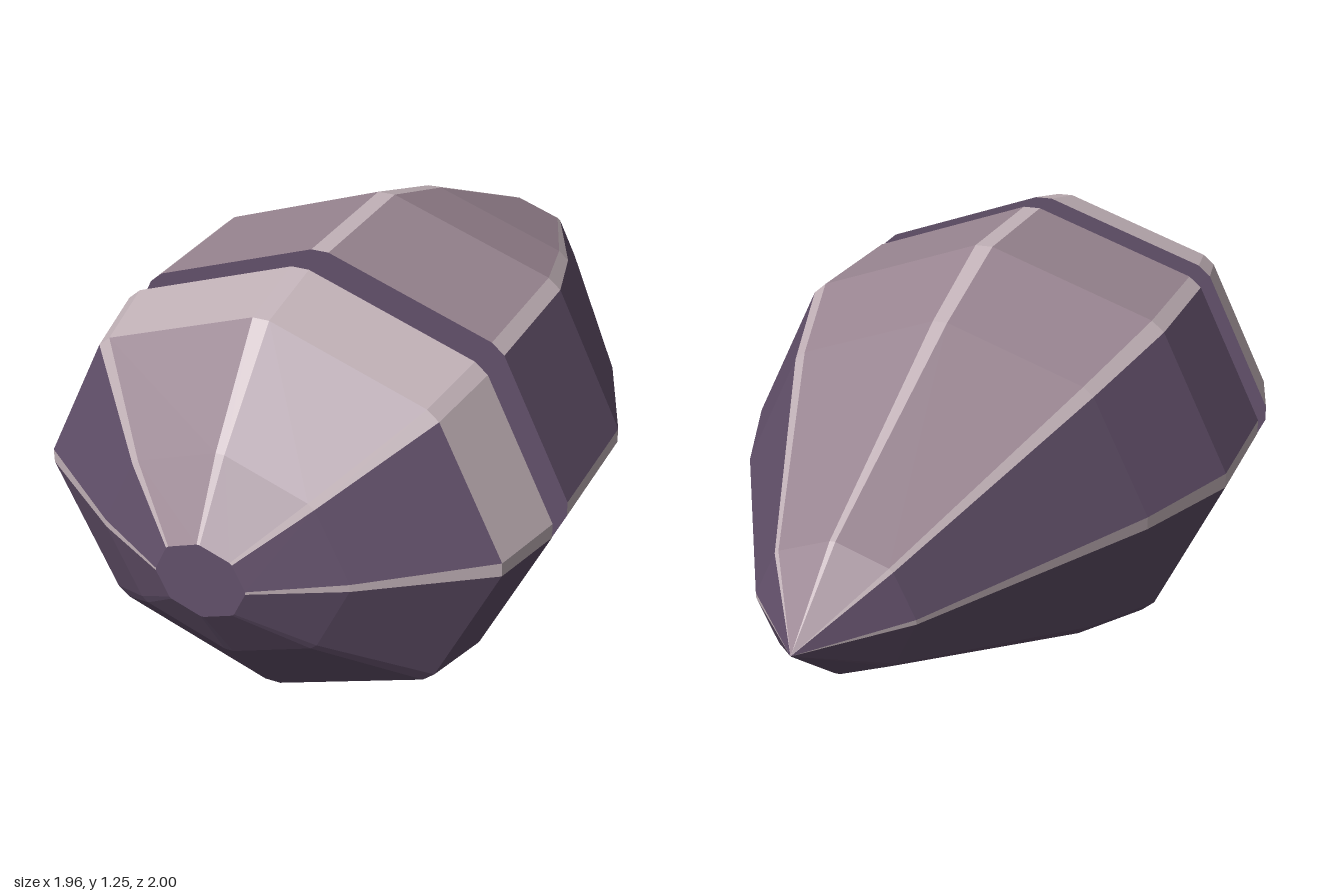
import * as THREE from 'three';

const flat = (name, color) => {
  const m = new THREE.MeshStandardMaterial({ color });
  m.name = name;
  return m;
};

const HALF_BEVEL = THREE.MathUtils.degToRad(2); // half width of the ridge bevels
const SQUASH = 0.85;                            // height of a section against its width

export function createModel() {
  const light = flat('pale mauve', 0xc2b2b8);
  const mauve = flat('mauve', 0x998591);
  const purple = flat('dusky purple', 0x62506a);

  // Sixteen columns: even ones are ridge bevels, odd ones are the wide panels.
  const ridgeOrPanel = (k) => {
    if (k % 2 === 0) return k <= 8 ? light : purple;
    return k === 3 || k === 5 ? mauve : purple;
  };
  const bandColour = (k) => (k <= 8 ? light : purple);
  const allPurple = () => purple;

  // Angle of the lower edge of column k on the bevelled octagon.
  const edgeAngle = (k) =>
    Math.floor(k / 2) * (Math.PI / 4) + (k % 2 ? HALF_BEVEL : -HALF_BEVEL);

  const point = ([t, r], k) => {
    const a = edgeAngle(k);
    return [r * Math.cos(a), r * SQUASH * Math.sin(a), -t];
  };

  // Sweeps a [distance along axis, radius] profile round the octagon, one mesh per colour.
  function skin(name, profile, colourOf) {
    const part = new THREE.Group();
    part.name = name;
    const faces = new Map();
    for (let k = 0; k < 16; k++) {
      const material = colourOf(k);
      if (!faces.has(material)) faces.set(material, []);
      const out = faces.get(material);
      for (let i = 0; i < profile.length - 1; i++) {
        const [p, q] = [profile[i], profile[i + 1]];
        const a = point(p, k), b = point(p, k + 1);
        const c = point(q, k + 1), d = point(q, k);
        if (q[1] > 0) out.push(...a, ...d, ...c);
        if (p[1] > 0) out.push(...a, ...c, ...b);
      }
    }
    for (const [material, positions] of faces) {
      const geometry = new THREE.BufferGeometry();
      geometry.setAttribute('position', new THREE.Float32BufferAttribute(positions, 3));
      geometry.computeVertexNormals();
      const mesh = new THREE.Mesh(geometry, material);
      mesh.name = `${name} ${material.name}`;
      part.add(mesh);
    }
    return part;
  }

  const pod = new THREE.Group();
  pod.name = 'pod';
  pod.add(
    // Blunt nose
    skin('noseEnd', [[-0.71, 0], [-0.71, 0.13]], allPurple),
    skin('nose', [[-0.71, 0.13], [-0.58, 0.36], [-0.342, 0.68]], ridgeOrPanel),
    // Collar and the recessed groove behind it
    skin('collar', [[-0.342, 0.68], [-0.117, 0.735]], bandColour),
    skin('groove', [[-0.117, 0.735], [-0.117, 0.64], [0, 0.64], [0, 0.735]], allPurple),
    // Long body tapering to a point
    skin('body', [[0, 0.735], [0.432, 0.735], [0.785, 0.6], [1.525, 0.217], [1.782, 0]], ridgeOrPanel),
  );
  pod.rotation.y = -0.768;
  pod.position.set(-0.26, 0.625, 0.28);

  const model = new THREE.Group();
  model.name = 'model';
  model.add(pod);
  return model;
}
